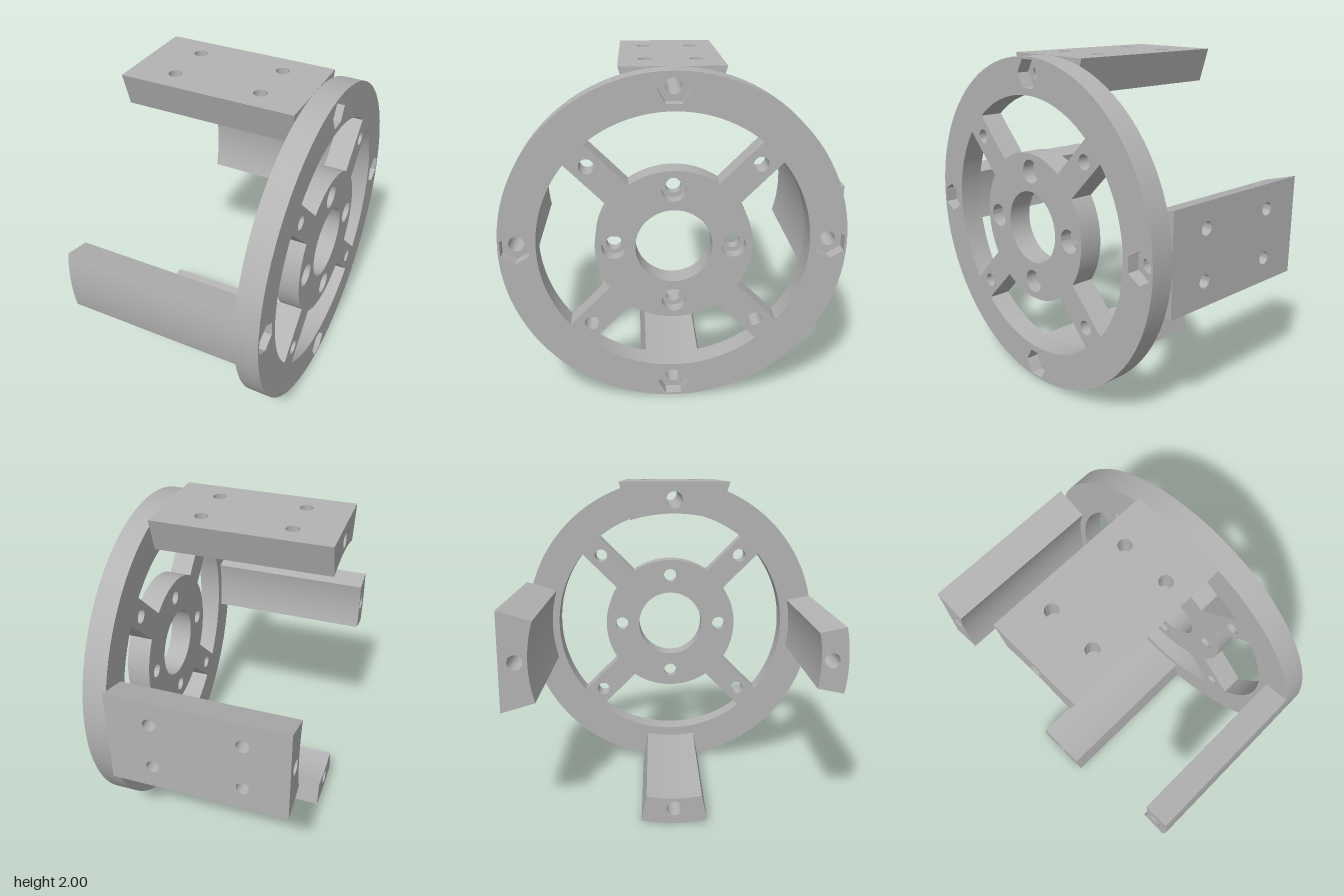
import * as THREE from 'three';
import { toCreasedNormals } from 'three/addons/utils/BufferGeometryUtils.js';

const X0 = -0.597, X1 = 0.455, X2 = 0.597; // arm end, plate back, plate front
const CENTER_Y = 1.002, R = 0.998, BOLT_R = 0.903, POCKET = 0.075;
const QUARTERS = [0, 1, 2, 3].map((k) => (k * Math.PI) / 2);

function circle(x, y, r) {
  const p = new THREE.Path();
  p.absarc(x, y, r, 0, Math.PI * 2, false);
  return p;
}

function hexagon(x, y, r, turn) {
  const pts = [];
  for (let i = 0; i < 6; i++) {
    const a = turn + (i * Math.PI) / 3;
    pts.push(new THREE.Vector2(x + r * Math.cos(a), y + r * Math.sin(a)));
  }
  return new THREE.Path(pts);
}

// Opening between two diagonal spokes
function spokeWindow(c) {
  const inner = 0.45, outer = 0.782, half = 0.083;
  const a1 = Math.PI / 4 - Math.asin(half / outer);
  const a2 = Math.PI / 4 - Math.asin(half / inner);
  const p = new THREE.Path();
  p.absarc(0, 0, outer, c - a1, c + a1, false);
  p.absarc(0, 0, inner, c + a2, c - a2, true);
  p.closePath();
  return p;
}

// Extrude a cross-section along x
function extrudeX(shape, from, to, segments) {
  const g = new THREE.ExtrudeGeometry(shape, { depth: to - from, bevelEnabled: false, curveSegments: segments });
  g.rotateY(Math.PI / 2);
  g.translate(from, 0, 0);
  return g;
}

// One layer of the spoked wheel; the front layer has the hex and round recesses
function wheelLayer(from, to, recessed) {
  const s = new THREE.Shape();
  s.absarc(0, 0, R, 0, Math.PI * 2, false);
  s.holes.push(circle(0, 0, 0.22));
  for (const a of QUARTERS) {
    const c = Math.cos(a), n = Math.sin(a), d = a + Math.PI / 4;
    s.holes.push(spokeWindow(a));
    s.holes.push(circle(0.68 * Math.cos(d), 0.68 * Math.sin(d), 0.043));
    s.holes.push(circle(0.342 * c, 0.342 * n, recessed ? 0.07 : 0.044));
    s.holes.push(recessed
      ? hexagon(BOLT_R * c, BOLT_R * n, 0.093, a + Math.PI / 2)
      : circle(BOLT_R * c, BOLT_R * n, 0.045));
  }
  return toCreasedNormals(extrudeX(s, from, to, 48), 0.5);
}

// Wedge cross-section with a concave inner face and a lengthwise bolt hole
function armSection(halfAngle, innerR, flat) {
  const a0 = Math.PI / 2 - halfAngle, a1 = Math.PI / 2 + halfAngle;
  const s = new THREE.Shape();
  if (flat) {
    const w = R * Math.tan(halfAngle);
    s.moveTo(w, R);
    s.lineTo(-w, R);
  } else {
    s.absarc(0, 0, R, a0, a1, false);
  }
  s.absarc(0, 0, innerR, a1, a0, true);
  s.closePath();
  s.holes.push(circle(0, BOLT_R, 0.045));
  return s;
}

// Drop the triangles lying in the plane y = h
function withoutFace(g, h) {
  const src = g.toNonIndexed ? (g.index ? g.toNonIndexed() : g) : g;
  const p = src.attributes.position, kept = [];
  for (let i = 0; i < p.count; i += 3) {
    if ([0, 1, 2].every((k) => Math.abs(p.getY(i + k) - h) < 1e-4)) continue;
    for (let k = 0; k < 3; k++) kept.push(p.getX(i + k), p.getY(i + k), p.getZ(i + k));
  }
  const out = new THREE.BufferGeometry();
  out.setAttribute('position', new THREE.Float32BufferAttribute(kept, 3));
  out.computeVertexNormals();
  return out;
}

export function createModel() {
  const model = new THREE.Group();
  const grey = new THREE.MeshStandardMaterial({ color: 0xb3b3b3 });
  grey.name = 'grey';

  const add = (parent, name, geometry) => {
    const m = new THREE.Mesh(geometry, grey);
    m.name = name;
    parent.add(m);
    return m;
  };

  const body = new THREE.Group();
  body.name = 'mount';
  body.position.y = CENTER_Y;
  model.add(body);

  // Spoked wheel
  add(body, 'wheelFront', wheelLayer(X2 - POCKET, X2, true));
  add(body, 'wheelBack', wheelLayer(X1, X2 - POCKET, false));

  // Two narrow arms with curved outer faces
  const narrow = toCreasedNormals(extrudeX(armSection(0.197, 0.84, false), X0, X1, 20), 0.5);
  add(body, 'frontArm', narrow).rotation.x = Math.PI / 2;
  add(body, 'bottomArm', narrow).rotation.x = Math.PI;

  // Two wide arms with flat, drilled outer faces
  const halfAngle = Math.atan(0.3 / R);
  const wide = toCreasedNormals(
    withoutFace(extrudeX(armSection(halfAngle, 0.83, true), X0, X1, 20), R), 0.5);
  const spots = [];
  for (const x of [-0.335, 0.195]) for (const z of [-0.15, 0.15]) spots.push([x, z]);

  const pad = new THREE.Shape();
  pad.moveTo(X0, -0.3);
  pad.lineTo(X1, -0.3);
  pad.lineTo(X1, 0.3);
  pad.lineTo(X0, 0.3);
  pad.closePath();
  for (const [x, z] of spots) pad.holes.push(circle(x, -z, 0.04));
  const padFace = new THREE.ShapeGeometry(pad, 16).rotateX(-Math.PI / 2);

  const screwHole = toCreasedNormals(new THREE.LatheGeometry([
    new THREE.Vector2(0.04, 0), new THREE.Vector2(0.04, -0.13), new THREE.Vector2(0, -0.13),
  ], 32), 0.5);

  for (const [name, turn] of [['topArm', 0], ['backArm', -Math.PI / 2]]) {
    const arm = new THREE.Group();
    arm.name = name;
    arm.rotation.x = turn;
    body.add(arm);
    add(arm, name + 'Body', wide);
    add(arm, name + 'Pad', padFace).position.y = R;
    for (const [x, z] of spots) add(arm, name + 'ScrewHole', screwHole).position.set(x, R, z);
  }
  return model;
}
